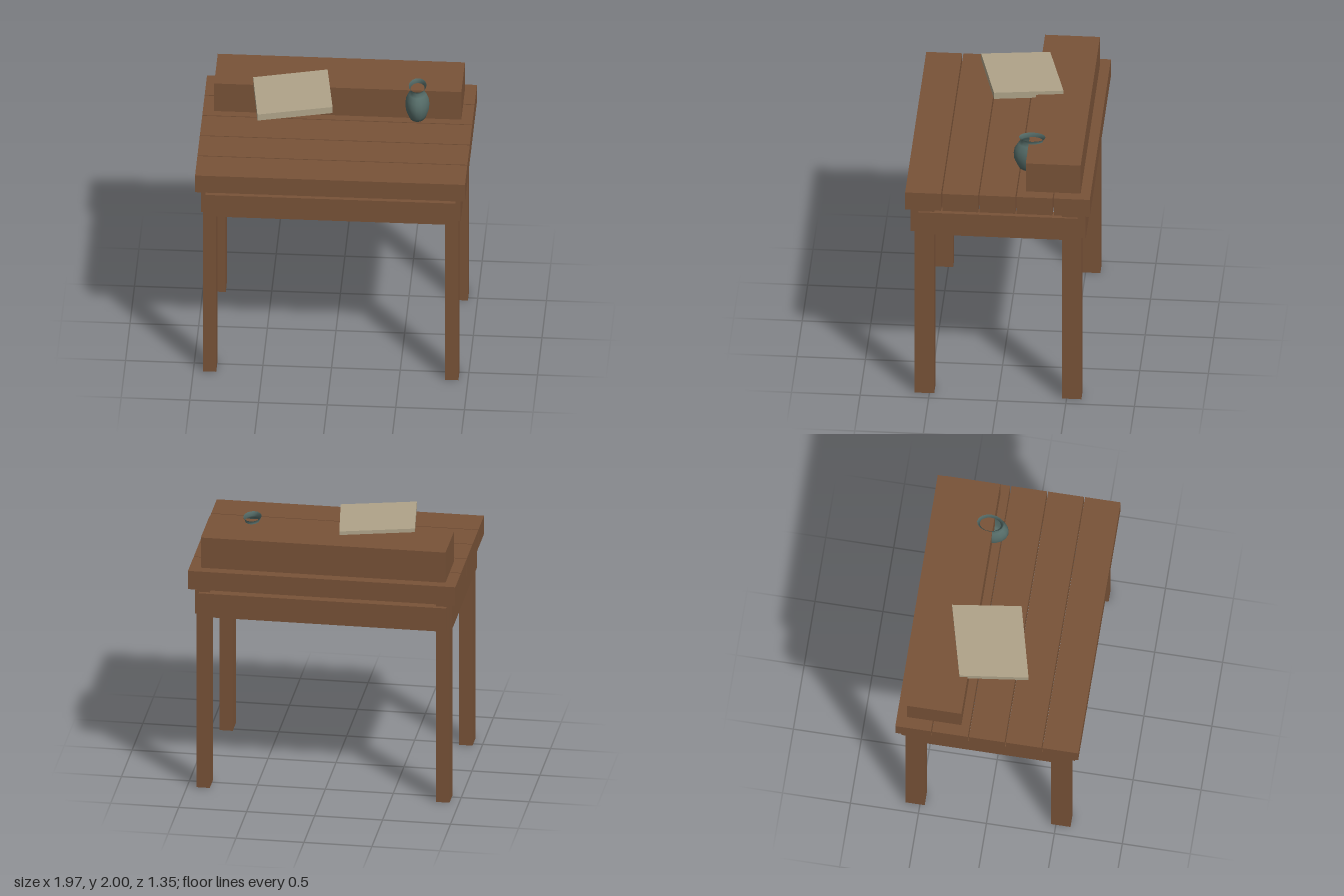
import * as THREE from 'three';

const wood = new THREE.MeshStandardMaterial({ color: 0x795338 });
wood.name = 'brown wood';
const paper = new THREE.MeshStandardMaterial({ color: 0xafa389 });
paper.name = 'parchment';
const glaze = new THREE.MeshStandardMaterial({ color: 0x556c68, side: THREE.DoubleSide });
glaze.name = 'teal glaze';

export function createModel() {
  const model = new THREE.Group();
  model.name = 'desk';

  // Box given by its extents on each axis
  const box = (name, [x0, x1], [y0, y1], [z0, z1]) => {
    const mesh = new THREE.Mesh(new THREE.BoxGeometry(x1 - x0, y1 - y0, z1 - z0), wood);
    mesh.position.set((x0 + x1) / 2, (y0 + y1) / 2, (z0 + z1) / 2);
    mesh.name = name;
    model.add(mesh);
  };

  // Five tabletop planks with narrow gaps
  for (let i = -2; i <= 2; i++) {
    const z = i * 0.271;
    box('plank', [-0.983, 0.983], [1.588, 1.732], [z - 0.131, z + 0.131]);
  }

  // Legs and apron rails
  const mirrored = (s, a, b) => (s > 0 ? [a, b] : [-b, -a]);
  for (const s of [-1, 1]) {
    for (const t of [-1, 1]) {
      box('leg', mirrored(s, 0.833, 0.931), [0, 1.588], mirrored(t, 0.465, 0.608));
    }
    box('sideRail', mirrored(s, 0.868, 0.946), [1.36, 1.545], [-0.58, 0.58]);
    box(s > 0 ? 'frontRail' : 'backRail', [-0.91, 0.91], [1.36, 1.545], mirrored(s, 0.55, 0.638));
  }

  // Raised shelf block along the back, sunk slightly into the planks
  box('backShelf', [-0.9, 0.9], [1.68, 1.97], [-0.6, -0.2]);

  // Slightly skewed book; the shape's y axis becomes -z
  const outline = new THREE.Shape([
    [-0.557, -0.24], [-0.018, -0.103], [-0.087, 0.398], [-0.62, 0.259],
  ].map(([x, y]) => new THREE.Vector2(x, y)));
  const bookGeometry = new THREE.ExtrudeGeometry(outline, { depth: 0.052, bevelEnabled: false });
  bookGeometry.rotateX(-Math.PI / 2);
  const book = new THREE.Mesh(bookGeometry, paper);
  book.position.y = 1.946;
  book.name = 'book';
  model.add(book);

  // Open vase, stretched front to back
  const profile = [
    [0, 1.744], [0.062, 1.744], [0.074, 1.775], [0.088, 1.82], [0.09, 1.865],
    [0.085, 1.91], [0.068, 1.95], [0.052, 1.972], [0.065, 2.0],
  ].map(([r, y]) => new THREE.Vector2(r, y));
  const vase = new THREE.Mesh(new THREE.LatheGeometry(profile, 16), glaze);
  vase.position.set(0.58, 0, -0.222);
  vase.scale.z = 1.5;
  vase.name = 'vase';
  model.add(vase);

  return model;
}
